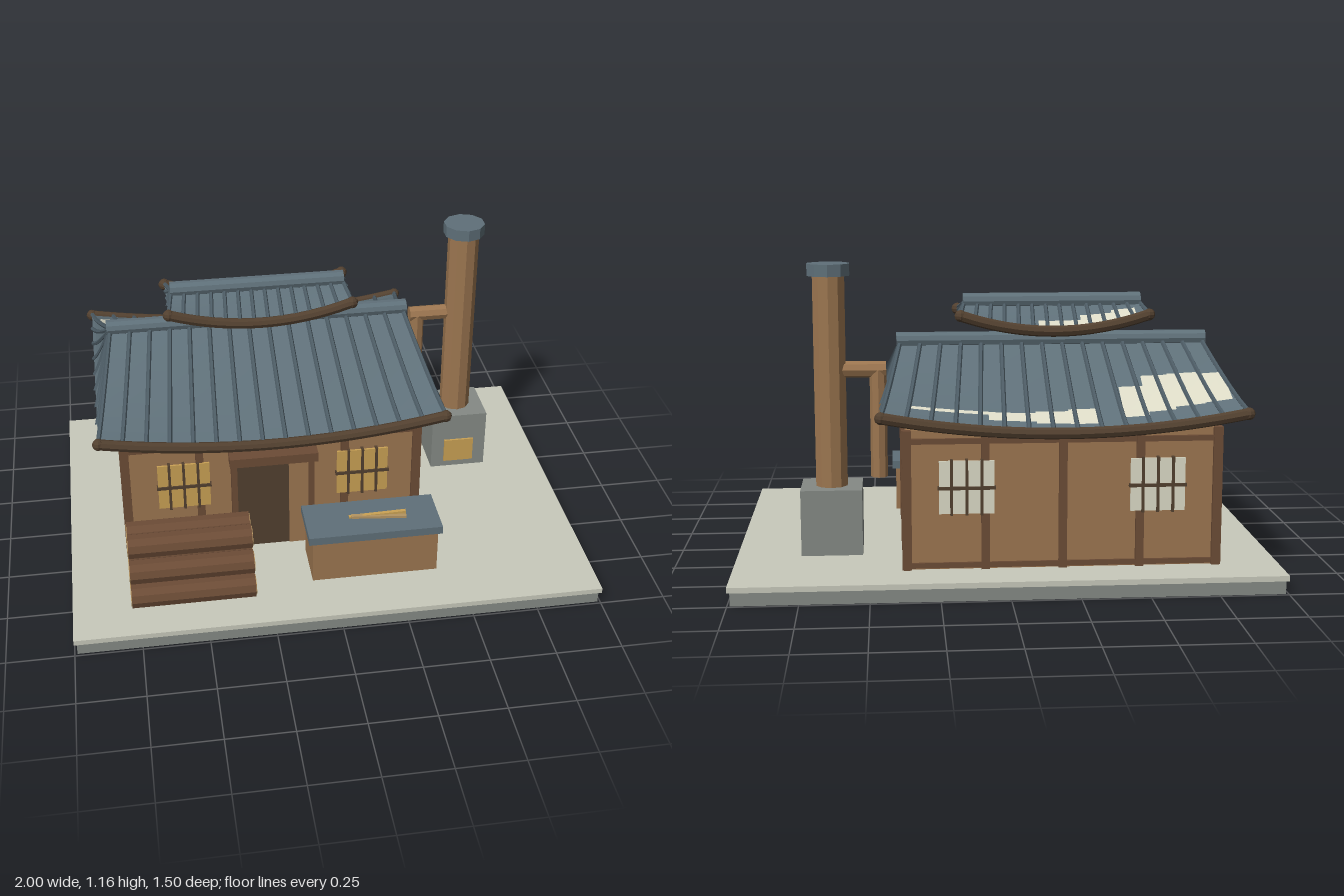
import * as THREE from 'three';

const mat = (name, color, side = THREE.FrontSide) => {
  const m = new THREE.MeshStandardMaterial({ color, flatShading: true, side });
  m.name = name;
  return m;
};

export function createModel() {
  const M = {
    pale: mat('paleStone', 0xc8c9bb),
    stone: mat('greyStone', 0x858a85),
    wood: mat('warmWood', 0x9c7650),
    timber: mat('timber', 0x6c4c36),
    dark: mat('darkTimber', 0x52402f),
    slate: mat('slate', 0x5f7079, THREE.DoubleSide),
    rib: mat('darkSlate', 0x4c5b64),
    gold: mat('glowGold', 0xcaa154),
    paper: mat('paper', 0xdcdac6, THREE.DoubleSide),
    cut: mat('cutWood', 0xb49462),
  };
  const model = new THREE.Group();
  model.name = 'workshop';

  const group = (name) => {
    const g = new THREE.Group();
    g.name = name;
    model.add(g);
    return g;
  };
  const add = (parent, name, geo, m) => {
    const mesh = new THREE.Mesh(geo, m);
    mesh.name = name;
    parent.add(mesh);
    return mesh;
  };
  // box from its min and max corners
  const box = (parent, name, m, x0, x1, y0, y1, z0, z1) => {
    const b = add(parent, name, new THREE.BoxGeometry(x1 - x0, y1 - y0, z1 - z0), m);
    b.position.set((x0 + x1) / 2, (y0 + y1) / 2, (z0 + z1) / 2);
    return b;
  };
  const cyl = (parent, name, m, r, len, sides, x, y, z, alongX = false) => {
    const c = add(parent, name, new THREE.CylinderGeometry(r, r, len, sides), m);
    if (alongX) c.rotation.z = -Math.PI / 2;
    c.position.set(x, y, z);
    return c;
  };
  // grid surface through f(s, t), s and t in 0..1
  const sheet = (f, ns, nt) => {
    const pos = [], idx = [];
    for (let j = 0; j <= nt; j++) for (let i = 0; i <= ns; i++) pos.push(...f(i / ns, j / nt).toArray());
    for (let j = 0; j < nt; j++) for (let i = 0; i < ns; i++) {
      const a = j * (ns + 1) + i, b = a + 1, c = a + ns + 1, d = c + 1;
      idx.push(a, c, b, b, c, d);
    }
    const g = new THREE.BufferGeometry();
    g.setAttribute('position', new THREE.Float32BufferAttribute(pos, 3));
    g.setIndex(idx);
    g.computeVertexNormals();
    return g;
  };
  const tube = (parent, name, m, f, n, r, sides) => {
    const pts = Array.from({ length: n + 1 }, (_, i) => f(i / n));
    add(parent, name, new THREE.TubeGeometry(new THREE.CatmullRomCurve3(pts), n * 2, r, sides), m);
    return pts;
  };

  // Base
  const base = group('base');
  box(base, 'foundation', M.stone, -0.99, 0.99, 0, 0.052, -0.74, 0.74);
  box(base, 'paving', M.pale, -1, 1, 0.05, 0.07, -0.75, 0.75);

  // House walls and timber frame
  const CX = -0.2, CZ = -0.16;
  const house = group('house');
  box(house, 'walls', M.wood, -0.77, 0.37, 0.07, 0.585, -0.57, 0.25);
  for (const s of [-1, 1]) {
    const zf = CZ + s * 0.412;
    for (let i = 0; i < 5; i++) {
      const x = CX + (i - 2) * 0.282;
      box(house, 'wallPost', M.timber, x - 0.015, x + 0.015, 0.07, 0.585, zf - 0.013, zf + 0.013);
    }
    box(house, 'topRail', M.timber, -0.77, 0.37, 0.535, 0.555, zf - 0.01, zf + 0.01);
    box(house, 'sill', M.timber, -0.77, 0.37, 0.075, 0.095, zf - 0.006, zf + 0.006);
    const xf = CX + s * 0.572;
    for (const z of [-0.565, CZ, 0.245])
      box(house, 'sidePost', M.timber, xf - 0.012, xf + 0.012, 0.07, 0.585, z - 0.016, z + 0.016);
    box(house, 'sideRail', M.timber, xf - 0.008, xf + 0.008, 0.373, 0.393, -0.57, 0.25);

    // Windows with lattice bars, two on each long wall
    for (const x of [-0.545, 0.15]) {
      const zw = CZ + s * 0.426;
      box(house, 'windowPane', s > 0 ? M.gold : M.paper, x - 0.1, x + 0.1, 0.28, 0.475, zw - 0.004, zw + 0.004);
      for (const d of [-0.055, 0, 0.055])
        box(house, 'windowBar', M.dark, x + d - 0.005, x + d + 0.005, 0.275, 0.48, zw - 0.011, zw + 0.011);
      for (const y of [0.375])
        box(house, 'windowCrossbar', M.dark, x - 0.105, x + 0.105, y - 0.006, y + 0.006, zw - 0.01, zw + 0.01);
    }
  }

  // Half-open sliding door
  const door = group('door');
  box(door, 'doorOpening', M.dark, -0.35, -0.14, 0.07, 0.48, 0.25, 0.276);
  box(door, 'doorPanel', M.wood, -0.14, -0.05, 0.07, 0.48, 0.25, 0.28);
  for (const x of [-0.352, -0.052])
    box(door, 'doorPost', M.timber, x - 0.011, x + 0.011, 0.07, 0.48, 0.25, 0.29);
  box(door, 'lintel', M.timber, -0.37, -0.03, 0.47, 0.508, 0.25, 0.315);

  // Curved hipped roof: u runs along the ridge (-1..1), v from ridge to eave
  const makeRoof = (name, o) => {
    const g = group(name);
    const P = (u, v, s, lift = 0) => new THREE.Vector3(
      CX + u * (o.a + (o.b - o.a) * v),
      o.top - (o.top - o.eave) * (1 - (1 - v) ** 1.2) - o.sag * (1 - u * u) * v ** 1.4 + lift,
      CZ + s * o.depth * v);
    for (const s of [1, -1]) {
      add(g, 'roofSlope', sheet((i, j) => P(s * (2 * i - 1), j, s), o.ribs, 8), M.slate);
      for (let k = 0; k <= o.ribs; k++) {
        const u = (2 * k) / o.ribs - 1;
        tube(g, 'roofRib', M.rib, (t) => P(u, t, s, 0.003), 6, o.ribR, 6);
      }
      const ends = tube(g, 'eaveBeam', M.dark, (t) => P(2 * t - 1, 1, s, -0.003), 12, 0.021, 8);
      for (const e of [ends[0], ends[12]])
        add(g, 'eaveEnd', new THREE.SphereGeometry(0.023, 8, 6), M.dark).position.copy(e);
      // hip end, fanned between the two edge curves
      const E = (k, v) => P(s, v, 1).lerp(P(s, v, -1), k);
      add(g, 'hipEnd', sheet((i, j) => E(s > 0 ? i : 1 - i, j), 8, 6), M.slate);
      for (let k = 1; k < o.fan; k++)
        tube(g, 'hipRib', M.rib, (t) => E(k / o.fan, t), 5, o.ribR, 6);
    }
    // pale patches lying on the rear slope
    for (const [x0, x1, z0, z1] of o.patches) {
      const at = (x, z) => {
        const v = (CZ - z) / o.depth;
        return P((x - CX) / (o.a + (o.b - o.a) * v), v, -1, 0.004);
      };
      add(g, 'palePatch', sheet((i, j) => at(x1 + (x0 - x1) * i, z1 + (z0 - z1) * j), 3, 4), M.paper);
    }
    cyl(g, 'ridge', M.slate, 0.03, o.ridge * 2, 10, CX, o.top + 0.008, CZ, true);
  };
  makeRoof('mainRoof', {
    a: 0.58, b: 0.655, top: 0.85, eave: 0.65, sag: 0.062, depth: 0.503, ribs: 15, ribR: 0.009, fan: 8, ridge: 0.595,
    patches: [
      [-0.82, -0.72, -0.555, -0.38], [-0.72, -0.61, -0.56, -0.37], [-0.61, -0.51, -0.575, -0.375],
      [-0.51, -0.42, -0.595, -0.43], [-0.32, -0.22, -0.62, -0.54], [-0.22, -0.1, -0.615, -0.55],
      [-0.1, 0.07, -0.605, -0.56], [0.07, 0.35, -0.575, -0.558],
    ],
  });
  makeRoof('upperRoof', {
    a: 0.335, b: 0.355, top: 0.998, eave: 0.965, sag: 0.06, depth: 0.13, ribs: 13, ribR: 0.008, fan: 4, ridge: 0.34,
    patches: [[-0.51, -0.42, -0.275, -0.22], [-0.42, -0.3, -0.275, -0.235], [-0.3, -0.14, -0.275, -0.255]],
  });

  // Furnace, chimney and elbow pipe
  const furnace = group('furnace');
  box(furnace, 'firebox', M.stone, 0.53, 0.76, 0.07, 0.32, -0.365, -0.15);
  box(furnace, 'fireDoor', M.gold, 0.583, 0.707, 0.1, 0.203, -0.15, -0.141);
  cyl(furnace, 'chimney', M.wood, 0.062, 0.8, 10, 0.645, 0.72, -0.26);
  cyl(furnace, 'chimneyCap', M.slate, 0.082, 0.045, 10, 0.645, 1.137, -0.26);
  cyl(furnace, 'crossPipe', M.wood, 0.031, 0.17, 8, 0.52, 0.762, -0.265, true);
  cyl(furnace, 'downPipe', M.wood, 0.032, 0.41, 8, 0.465, 0.556, -0.265);

  // Work counter with tools
  const counter = group('counter');
  box(counter, 'counterBody', M.wood, -0.085, 0.4, 0.07, 0.246, 0.34, 0.535);
  box(counter, 'counterTop', M.slate, -0.1, 0.415, 0.246, 0.278, 0.33, 0.545);
  const handle = box(counter, 'toolHandle', M.gold, 0.07, 0.29, 0.28, 0.292, 0.432, 0.446);
  handle.rotation.set(0, -0.06, 0.07);
  const blade = box(counter, 'toolBlade', M.cut, 0.08, 0.29, 0.278, 0.288, 0.438, 0.456);
  blade.rotation.y = -0.12;

  // Stacked logs
  const logs = group('logPile');
  const rows = [[0.582, 0.49, 0.398, 0.306], [0.54, 0.447, 0.335], [0.487, 0.405]];
  rows.forEach((row, r) => row.forEach((z) => {
    const y = 0.117 + r * 0.079;
    cyl(logs, 'log', M.timber, 0.047, 0.465, 10, -0.545, y, z, true);
    cyl(logs, 'logCutFace', M.cut, 0.04, 0.471, 10, -0.545, y, z, true);
  }));

  return model;
}
